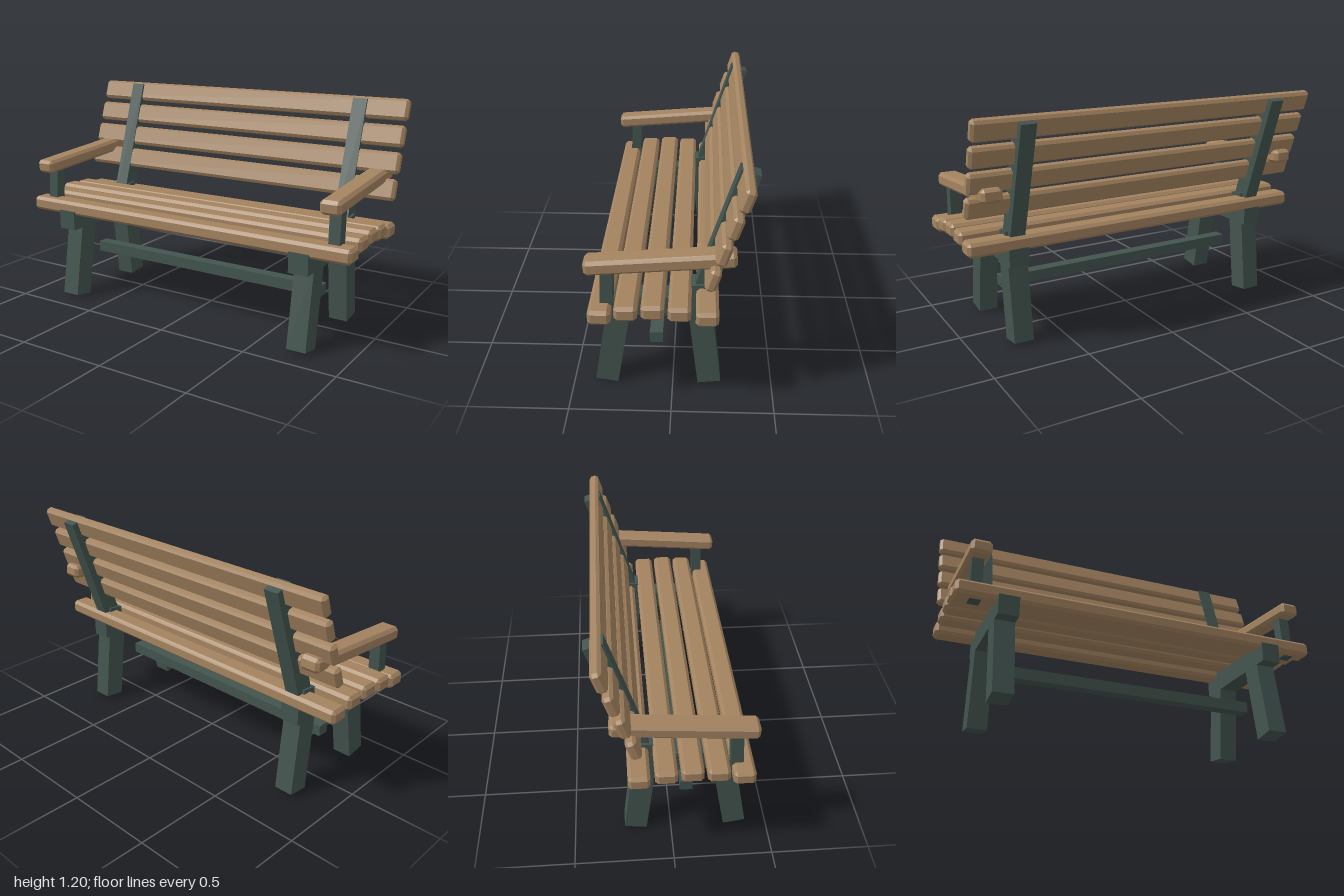
import * as THREE from 'three';
import { ConvexGeometry } from 'three/addons/geometries/ConvexGeometry.js';

const wood = new THREE.MeshStandardMaterial({ color: 0xa38360 });
wood.name = 'wood';
const iron = new THREE.MeshStandardMaterial({ color: 0x43544f });
iron.name = 'paintedFrame';

// Box with every edge chamfered by b
function chamferBox(w, h, d, b = 0.016) {
  const points = [];
  for (const sx of [-1, 1]) for (const sy of [-1, 1]) for (const sz of [-1, 1]) {
    const p = [w / 2, h / 2, d / 2];
    for (let axis = 0; axis < 3; axis++) {
      // one point on each of the three faces meeting at this corner
      const q = p.map((v, i) => (i === axis ? v : v - b));
      points.push(new THREE.Vector3(q[0] * sx, q[1] * sy, q[2] * sz));
    }
  }
  return new ConvexGeometry(points);
}

export function createModel() {
  const bench = new THREE.Group();
  bench.name = 'bench';

  function add(name, geometry, material, x, y, z, tilt = 0) {
    const mesh = new THREE.Mesh(geometry, material);
    mesh.name = name;
    mesh.position.set(x, y, z);
    mesh.rotation.x = tilt;
    bench.add(mesh);
  }

  // Bar running between two [z, y] points in the side plane
  function bar(name, x, from, to, width, depth, material, chamfered = false) {
    const dz = to[0] - from[0], dy = to[1] - from[1];
    const length = Math.hypot(dz, dy);
    const geometry = chamfered
      ? chamferBox(width, length, depth)
      : new THREE.BoxGeometry(width, length, depth);
    add(name, geometry, material, x, (from[1] + to[1]) / 2, (from[0] + to[0]) / 2, Math.atan2(dz, dy));
  }

  // Seat slats, gently crowned in the middle
  const seat = [[0.33, 0.54], [0.208, 0.564], [0.084, 0.572], [-0.04, 0.564], [-0.168, 0.54]];
  const seatGeometry = chamferBox(2, 0.076, 0.107);
  for (const [z, y] of seat) add('seatSlat', seatGeometry, wood, 0, y, z);

  // Leaning backrest slats
  const backGeometry = chamferBox(2, 0.112, 0.053, 0.014);
  for (let i = 0; i < 4; i++) {
    add('backSlat', backGeometry, wood, 0, 0.75 + i * 0.1325, -0.19 - i * 0.0457, -0.318);
  }

  // Both end frames and armrests
  for (const side of [-1, 1]) {
    const x = side * 0.737;
    bar('frontLeg', x, [0.334, 0.012], [0.257, 0.47], 0.105, 0.115, iron);
    bar('rearLeg', x, [-0.184, 0.012], [-0.117, 0.594], 0.105, 0.115, iron);
    add('seatBeam', new THREE.BoxGeometry(0.106, 0.107, 0.61), iron, x, 0.4715, 0.087);
    bar('backPost', x, [-0.13, 0.5], [-0.351, 1.182], 0.08, 0.097, iron);
    bar('armPost', side * 0.892, [0.305, 0.5], [0.292, 0.77], 0.06, 0.06, iron);
    bar('armrest', side * 0.89, [0.398, 0.767], [-0.298, 0.823], 0.109, 0.073, wood, true);
  }

  // Stretcher between the end frames
  add('stretcher', new THREE.BoxGeometry(1.474, 0.06, 0.066), iron, 0, 0.245, 0.083);

  return bench;
}
